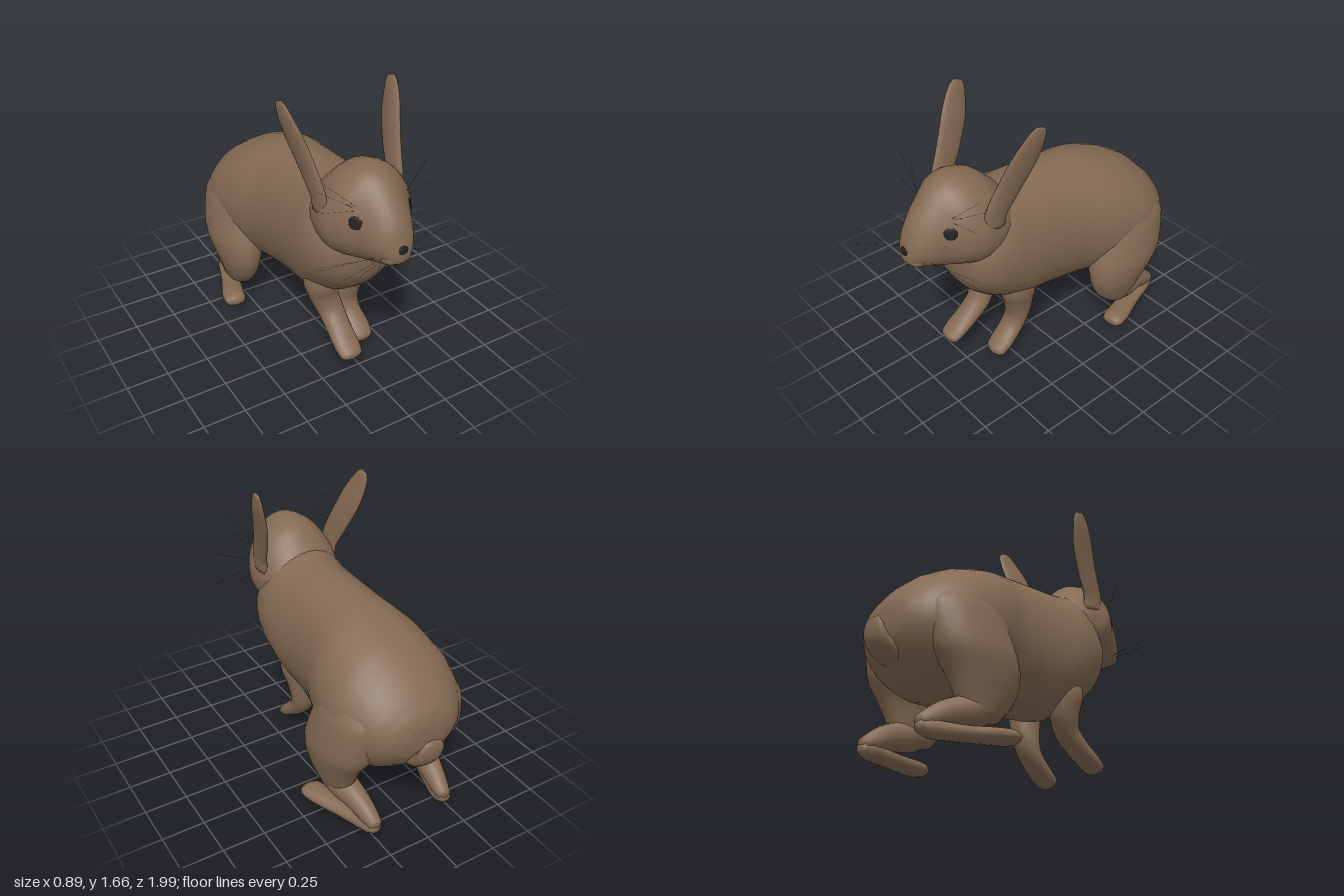
import * as THREE from 'three';

const mat = (name, color) => {
  const m = new THREE.MeshStandardMaterial({ color });
  m.name = name;
  return m;
};

// Smooth tube of elliptical rings. Sections: [x, y, z, radiusSide, radiusUp].
// With an axis all rings stay square to it, otherwise they follow the path.
// Taper narrows the upper half of each ring and widens the lower half.
function loft(sections, { axis = null, steps = 4, sides = 24, cap = 0.5, taper = 0 } = {}) {
  const path = new THREE.CatmullRomCurve3(sections.map(s => new THREE.Vector3(s[0], s[1], s[2])));
  const radii = new THREE.CatmullRomCurve3(sections.map(s => new THREE.Vector3(s[3], s[4], 0)));
  const rings = (sections.length - 1) * steps;
  const pos = [], index = [];
  const poles = [];
  for (let i = 0; i <= rings; i++) {
    const u = i / rings;
    const c = path.getPoint(u), r = radii.getPoint(u);
    const t = axis ? axis.clone() : path.getTangent(u);
    const side = new THREE.Vector3(1, 0, 0).addScaledVector(t, -t.x).normalize();
    const up = new THREE.Vector3().crossVectors(t, side);
    for (let j = 0; j < sides; j++) {
      const a = j / sides * Math.PI * 2;
      const w = r.x * (1 - taper * Math.sin(a));
      const p = c.clone().addScaledVector(side, Math.cos(a) * w).addScaledVector(up, Math.sin(a) * r.y);
      pos.push(p.x, p.y, p.z);
    }
    if (i === 0 || i === rings) {
      poles.push(c.clone().addScaledVector(t, (i ? 1 : -1) * cap * Math.min(r.x, r.y)));
    }
  }
  for (let i = 0; i < rings; i++) for (let j = 0; j < sides; j++) {
    const k = (j + 1) % sides, a = i * sides, b = a + sides;
    index.push(a + j, a + k, b + j, a + k, b + k, b + j);
  }
  const first = pos.length / 3, last = rings * sides;
  poles.forEach(p => pos.push(p.x, p.y, p.z));
  for (let j = 0; j < sides; j++) {
    const k = (j + 1) % sides;
    index.push(first, k, j, first + 1, last + j, last + k);
  }
  const g = new THREE.BufferGeometry();
  g.setAttribute('position', new THREE.Float32BufferAttribute(pos, 3));
  g.setIndex(index);
  g.computeVertexNormals();
  return g;
}

export function createModel() {
  const fur = mat('brown fur', 0x846a53);
  const dark = mat('eye black', 0x222224);
  const model = new THREE.Group();
  model.name = 'rabbit';

  const add = (name, geometry, material = fur) => {
    const m = new THREE.Mesh(geometry, material);
    m.name = name;
    model.add(m);
    return m;
  };
  const Z = new THREE.Vector3(0, 0, 1), DOWN = new THREE.Vector3(0, -1, 0);
  // Profile rows: [z, top, bottom, half width]
  const fromProfile = rows => rows.map(([z, t, b, w]) => [0, (t + b) / 2, z, w, (t - b) / 2]);

  // Torso with broad rump
  add('body', loft(fromProfile([
    [-0.93, 0.73, 0.58, 0.12], [-0.91, 0.79, 0.52, 0.19], [-0.85, 0.87, 0.44, 0.275],
    [-0.75, 0.965, 0.36, 0.35], [-0.6, 1.055, 0.31, 0.395], [-0.4, 1.13, 0.32, 0.375],
    [-0.2, 1.17, 0.335, 0.315], [0, 1.19, 0.36, 0.295], [0.2, 1.2, 0.39, 0.3],
    [0.3, 1.22, 0.44, 0.3], [0.4, 1.18, 0.5, 0.285], [0.5, 1.08, 0.585, 0.24],
    [0.55, 1.0, 0.66, 0.18], [0.57, 0.92, 0.73, 0.1],
  ]), { axis: Z, sides: 32, cap: 0.1 }));

  // Pear-shaped head
  const head = add('head', loft(fromProfile([
    [0.22, 1.15, 0.92, 0.17], [0.3, 1.245, 0.86, 0.225], [0.4, 1.335, 0.81, 0.255],
    [0.5, 1.365, 0.81, 0.265], [0.6, 1.36, 0.835, 0.23], [0.68, 1.31, 0.855, 0.172],
    [0.76, 1.225, 0.88, 0.13], [0.82, 1.135, 0.91, 0.09], [0.85, 1.05, 0.925, 0.055],
    [0.86, 1.0, 0.945, 0.03],
  ]), { axis: Z, sides: 32, cap: 0.1, taper: 0.15 }));

  // Eyes and nose tip, laid on the head surface
  const spot = (name, origin, dir, rx, ry) => {
    const hit = new THREE.Raycaster(origin, dir).intersectObject(head)[0];
    const m = add(name, new THREE.SphereGeometry(1, 20, 12), dark);
    m.scale.set(rx, ry, 0.006);
    m.position.copy(hit.point);
    m.lookAt(hit.point.clone().add(hit.face.normal));
  };
  for (const s of [1, -1]) {
    spot(s > 0 ? 'leftEye' : 'rightEye', new THREE.Vector3(s, 1.125, 0.672), new THREE.Vector3(-s, 0, 0), 0.038, 0.036);
  }
  spot('noseTip', new THREE.Vector3(0, 1.01, 2), new THREE.Vector3(0, 0, -1), 0.029, 0.024);

  // Whiskers: [start, end] for the +x side
  const whiskers = [
    [[0.08, 0.96, 0.79], [0.27, 0.97, 0.995]], [[0.08, 0.94, 0.79], [0.33, 1.02, 0.95]],
    [[0.09, 0.95, 0.77], [0.43, 0.93, 0.69]], [[0.1, 0.93, 0.75], [0.35, 0.9, 0.64]],
    [[0.08, 0.91, 0.75], [0.25, 0.8, 0.68]], [[0.15, 1.2, 0.65], [0.35, 1.39, 0.62]],
    [[0.15, 1.19, 0.65], [0.33, 1.3, 0.57]], [[0.15, 1.18, 0.65], [0.35, 1.22, 0.64]],
  ];

  for (const s of [1, -1]) {
    const label = s > 0 ? 'left' : 'right';
    const limb = (name, rows, options) =>
      add(label + name, loft(rows.map(([x, ...rest]) => [x * s, ...rest]), options));

    limb('Muzzle', [[0.04, 0.95, 0.7, 0.05, 0.05], [0.04, 0.95, 0.77, 0.053, 0.046],
      [0.035, 0.95, 0.82, 0.042, 0.036], [0.028, 0.955, 0.846, 0.02, 0.018]], { sides: 16 });

    limb('Ear', [[0.23, 1.1, 0.435, 0.028, 0.07], [0.24, 1.19, 0.425, 0.026, 0.076],
      [0.263, 1.32, 0.362, 0.024, 0.084], [0.295, 1.46, 0.295, 0.024, 0.088],
      [0.325, 1.57, 0.25, 0.02, 0.072], [0.338, 1.63, 0.225, 0.014, 0.053],
      [0.344, 1.658, 0.215, 0.008, 0.03]], { sides: 16, cap: 0.2 });

    // Haunch, shank and long foot
    limb('Haunch', [[0.2, 0.88, -0.56, 0.05, 0.1], [0.225, 0.82, -0.575, 0.12, 0.19],
      [0.25, 0.7, -0.58, 0.157, 0.25], [0.28, 0.5, -0.535, 0.162, 0.26],
      [0.29, 0.35, -0.485, 0.13, 0.215], [0.285, 0.24, -0.48, 0.1, 0.165],
      [0.28, 0.16, -0.495, 0.075, 0.11]], { axis: DOWN, cap: 0.4 });
    limb('Shank', [[0.28, 0.22, -0.44, 0.07, 0.07], [0.275, 0.19, -0.54, 0.085, 0.085],
      [0.255, 0.155, -0.67, 0.068, 0.072], [0.24, 0.1, -0.78, 0.053, 0.053],
      [0.235, 0.075, -0.835, 0.038, 0.035]], { sides: 16 });
    limb('Foot', [[0.235, 0.06, -0.84, 0.035, 0.03], [0.245, 0.052, -0.78, 0.053, 0.048],
      [0.3, 0.052, -0.6, 0.06, 0.042], [0.355, 0.06, -0.45, 0.07, 0.044],
      [0.375, 0.063, -0.38, 0.07, 0.04], [0.38, 0.058, -0.345, 0.055, 0.027]], { sides: 16 });

    // The left foreleg stands, the right one reaches forward
    limb('Foreleg', s > 0
      ? [[0.13, 0.62, 0.23, 0.07, 0.09], [0.135, 0.52, 0.205, 0.095, 0.12], [0.115, 0.4, 0.185, 0.087, 0.097],
        [0.1, 0.27, 0.185, 0.079, 0.072], [0.1, 0.19, 0.225, 0.075, 0.057],
        [0.108, 0.115, 0.31, 0.078, 0.048], [0.11, 0.075, 0.362, 0.07, 0.04], [0.11, 0.062, 0.378, 0.05, 0.03]]
      : [[0.13, 0.64, 0.28, 0.07, 0.09], [0.135, 0.53, 0.275, 0.095, 0.11], [0.115, 0.43, 0.28, 0.087, 0.092],
        [0.09, 0.33, 0.325, 0.078, 0.068], [0.088, 0.26, 0.4, 0.075, 0.057],
        [0.09, 0.19, 0.5, 0.077, 0.046], [0.09, 0.153, 0.555, 0.068, 0.037], [0.09, 0.143, 0.568, 0.05, 0.027]],
    { sides: 20 });

    whiskers.forEach(([a, b]) => {
      const p = new THREE.Vector3(a[0] * s, a[1], a[2]), q = new THREE.Vector3(b[0] * s, b[1], b[2]);
      const w = add(label + 'Whisker', new THREE.CylinderGeometry(0.0006, 0.0006, p.distanceTo(q), 3), dark);
      w.position.copy(p).lerp(q, 0.5);
      w.quaternion.setFromUnitVectors(new THREE.Vector3(0, 1, 0), q.sub(p).normalize());
    });
  }

  // Upturned tail
  add('tail', loft([[0, 0.47, -0.8, 0.08, 0.05], [0, 0.5, -0.89, 0.09, 0.05],
    [0, 0.55, -0.95, 0.088, 0.042], [0, 0.61, -0.973, 0.08, 0.027],
    [0, 0.65, -0.98, 0.05, 0.015]], { sides: 16 }));

  return model;
}
